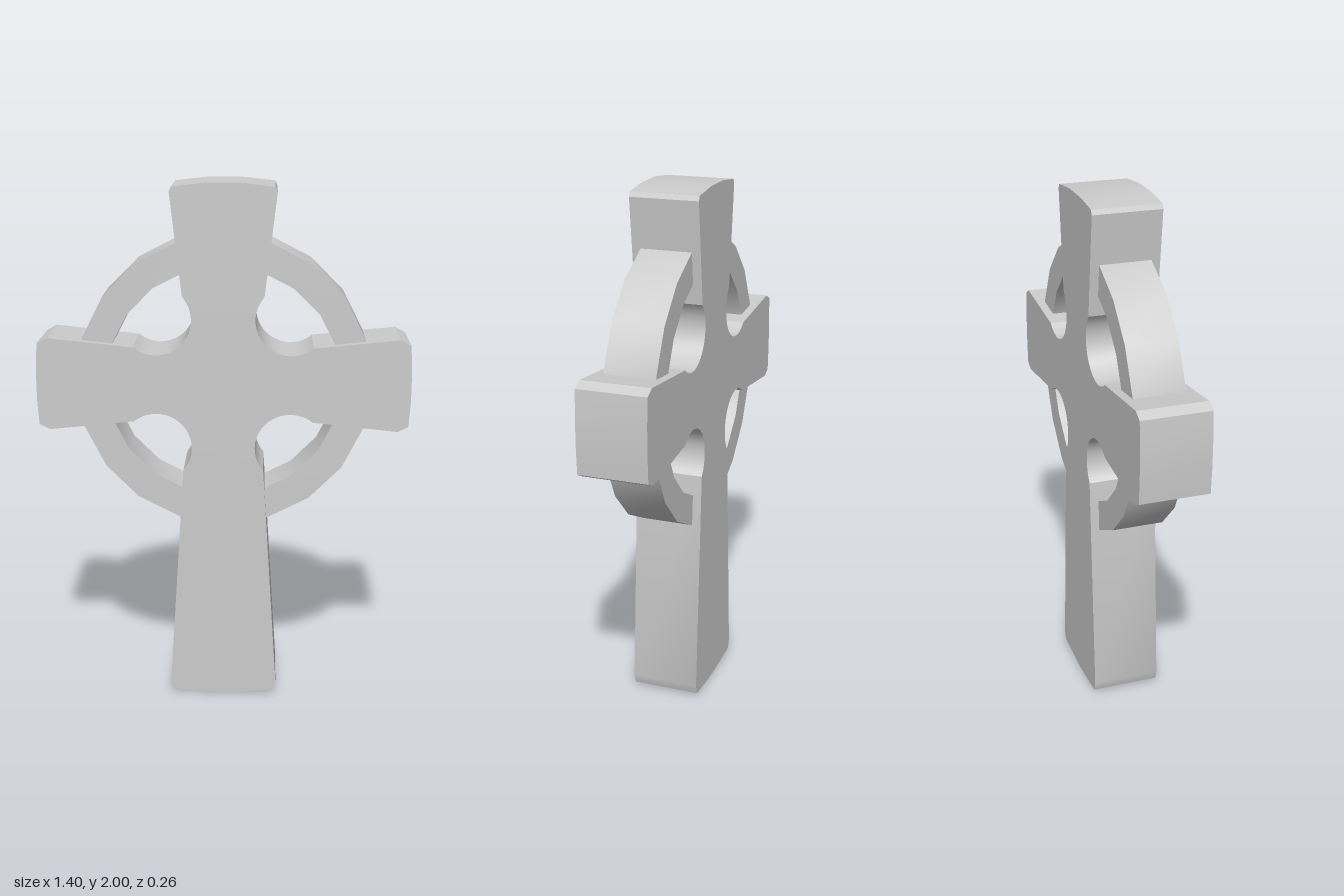
import * as THREE from 'three';
import { toCreasedNormals } from 'three/addons/utils/BufferGeometryUtils.js';

const CENTRE_Y = 1.255;

// Flat outline extruded symmetrically about z = 0
function slab(name, shape, depth) {
  const geo = new THREE.ExtrudeGeometry(shape, { depth, bevelEnabled: false, curveSegments: 24 });
  geo.translate(0, 0, -depth / 2);
  const mesh = new THREE.Mesh(
    toCreasedNormals(geo, 0.45),
    new THREE.MeshStandardMaterial({ color: 0xcccccc })
  );
  mesh.name = name;
  return mesh;
}

// Round notch where two arms meet, as points between two angles in degrees
function notch(cy, from, to) {
  const pts = [];
  const steps = 24;
  for (let i = 0; i <= steps; i++) {
    const a = THREE.MathUtils.degToRad(from + ((to - from) * i) / steps);
    pts.push([0.252 + 0.133 * Math.cos(a), cy + 0.133 * Math.sin(a)]);
  }
  return pts;
}

// Regular polygon around the middle of the cross
function polygon(radius, sides) {
  return Array.from({ length: sides }, (_, i) => {
    const a = (i / sides) * Math.PI * 2;
    return new THREE.Vector2(radius * Math.cos(a), CENTRE_Y + radius * Math.sin(a));
  });
}

export function createModel() {
  const group = new THREE.Group();
  group.name = 'ringedCross';

  // Right half of the outline, bottom to top, then mirrored
  const half = [
    [0.07, 0.002], [0.195, 0.011], [0.207, 0.048],
    ...notch(1.01, 221, 51),
    [0.655, 1.08], [0.694, 1.1], [0.7, 1.2],
    [0.7, 1.31], [0.694, 1.41], [0.655, 1.43],
    ...notch(1.5, -51, -221),
    [0.196, 1.968], [0.188, 1.986], [0.065, 2],
  ];
  const outline = [
    [0, 0], ...half,
    ...half.slice().reverse().map(([x, y]) => [-x, y]),
  ].map(([x, y]) => new THREE.Vector2(x, y));
  group.add(slab('cross', new THREE.Shape(outline), 0.262));

  // Twenty-sided ring passing through the four arms
  const ring = new THREE.Shape(polygon(0.555, 20));
  ring.holes.push(new THREE.Path(polygon(0.443, 20).reverse()));
  group.add(slab('ring', ring, 0.195));

  return group;
}
